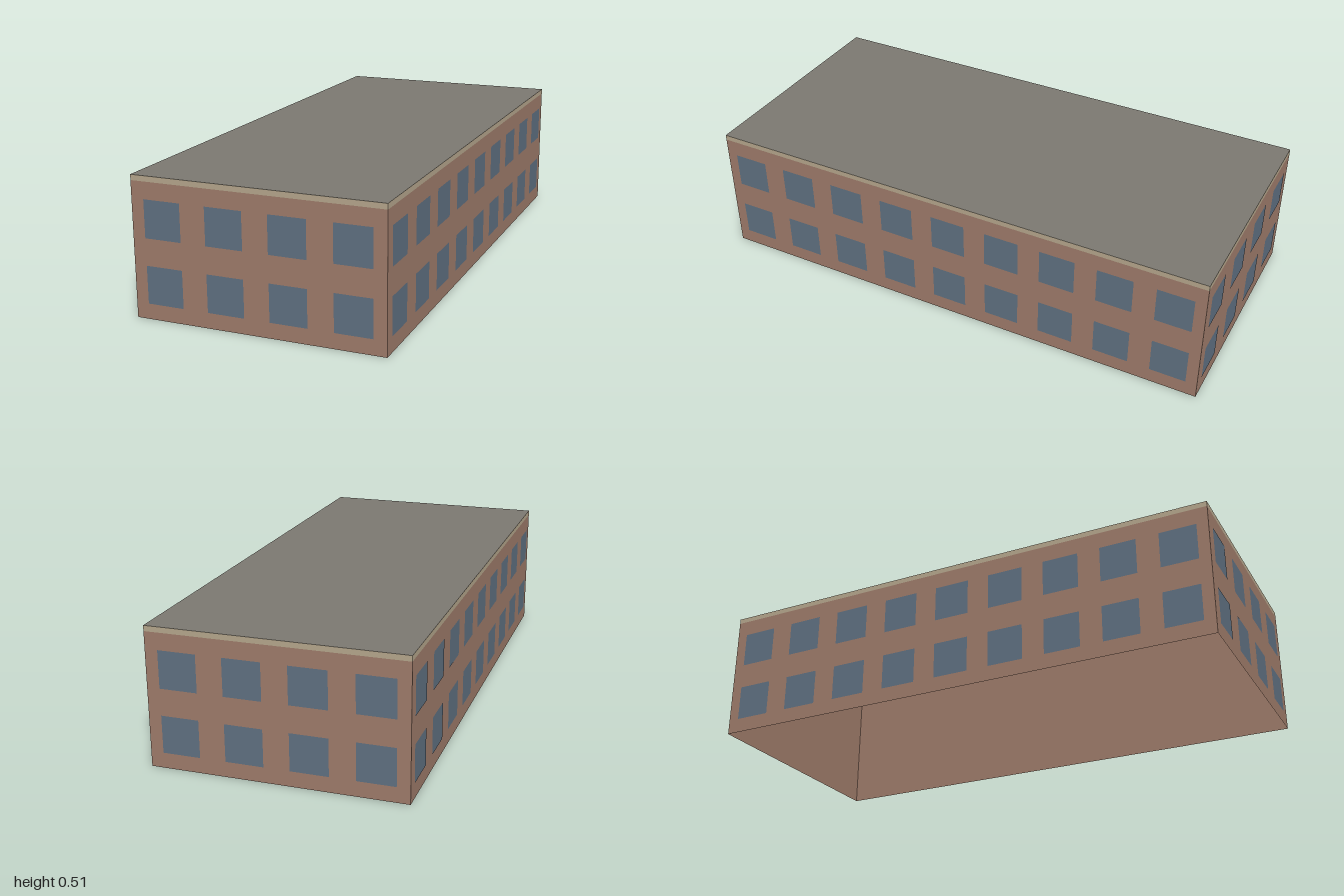
import * as THREE from 'three';

const mat = (name, color, side = THREE.FrontSide) => {
  const m = new THREE.MeshStandardMaterial({ color, side });
  m.name = name;
  return m;
};

export function createModel() {
  const brick = mat('brick', 0x9e7b6a, THREE.DoubleSide);
  const trim = mat('trim', 0xb5a68c, THREE.DoubleSide);
  const roofGrey = mat('roofGrey', 0x7b7870, THREE.DoubleSide);
  const glass = mat('glass', 0x5f7081);

  const wallTop = 0.49, height = 0.51, windowSize = 0.137;
  const model = new THREE.Group();
  model.name = 'building';

  // Footprint corners, slightly skewed, counter-clockwise seen from above
  const corners = [[-0.461, 0.996], [0.46, 1], [0.461, -0.996], [-0.46, -1]]
    .map(([x, z]) => new THREE.Vector3(x, 0, z));

  const addPlane = (parent, name, w, h, material, x, y, z = 0) => {
    const mesh = new THREE.Mesh(new THREE.PlaneGeometry(w, h), material);
    mesh.name = name;
    mesh.position.set(x, y, z);
    parent.add(mesh);
  };

  // Four open-bottomed walls, each with a trim band and two rows of windows
  ['front', 'left', 'back', 'right'].forEach((side, i) => {
    const a = corners[i], b = corners[(i + 1) % 4];
    const width = a.distanceTo(b);
    const columns = i % 2 ? 9 : 4;
    const wall = new THREE.Group();
    wall.name = side + 'Wall';
    wall.position.copy(a).add(b).multiplyScalar(0.5);
    wall.rotation.y = Math.atan2(a.z - b.z, b.x - a.x);
    addPlane(wall, 'brickWall', width, wallTop, brick, 0, wallTop / 2);
    addPlane(wall, 'trimBand', width, height - wallTop, trim, 0, (wallTop + height) / 2);
    for (const y of [0.125, 0.36]) {
      for (let c = 0; c < columns; c++) {
        const x = ((c + 0.5) / columns - 0.5) * width;
        addPlane(wall, 'window', windowSize, windowSize, glass, x, y, 0.001);
      }
    }
    model.add(wall);
  });

  // Flat roof following the footprint
  const outline = new THREE.Shape(corners.map((p) => new THREE.Vector2(p.x, -p.z)));
  const roof = new THREE.Mesh(new THREE.ShapeGeometry(outline).rotateX(-Math.PI / 2), roofGrey);
  roof.name = 'roof';
  roof.position.y = height;
  model.add(roof);

  return model;
}
